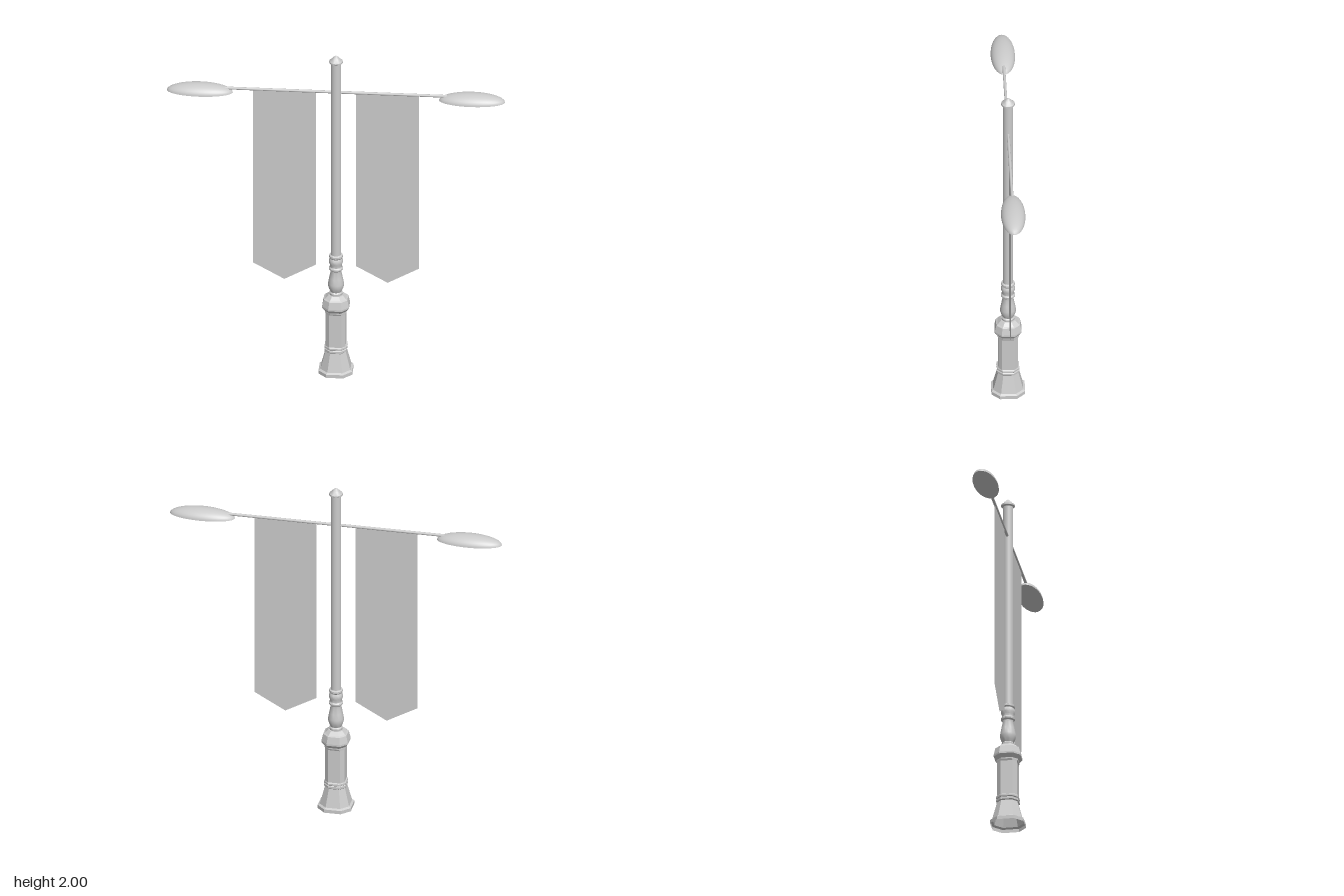
import * as THREE from 'three';
import { toCreasedNormals } from 'three/addons/utils/BufferGeometryUtils.js';

const grey = new THREE.MeshStandardMaterial({ color: 0xcccccc });
const greyFlat = new THREE.MeshStandardMaterial({ color: 0xcccccc, flatShading: true, side: THREE.DoubleSide });
const greyDouble = new THREE.MeshStandardMaterial({ color: 0xcccccc, side: THREE.DoubleSide });

function add(parent, name, geometry, material = grey) {
  const mesh = new THREE.Mesh(geometry, material);
  mesh.name = name;
  parent.add(mesh);
  return mesh;
}

const toPoints = (rows) => rows.map(([r, y]) => new THREE.Vector2(r, y));

function turned(rows, segments = 24) {
  return toCreasedNormals(new THREE.LatheGeometry(toPoints(rows), segments), 0.6);
}

// Chamfered-square column; each row is [half width, height, flat share of the side]
function octagonal(rows) {
  const geometry = new THREE.LatheGeometry(toPoints(rows), 8);
  const pos = geometry.attributes.position;
  for (let i = 0; i <= 8; i++) {
    rows.forEach(([half, y, flat = 0.5], j) => {
      const corner = Math.atan(flat);
      const angle = Math.floor((i + 1) / 2) * Math.PI / 2 + (i % 2 ? -corner : corner);
      const r = half * Math.hypot(1, flat);
      pos.setXYZ(i * rows.length + j, r * Math.sin(angle), y, r * Math.cos(angle));
    });
  }
  geometry.computeVertexNormals();
  return geometry;
}

export function createModel() {
  const model = new THREE.Group();
  model.name = 'streetLamp';

  // Octagonal pedestal, open underneath
  add(model, 'pedestal', octagonal([
    [0.094, 0], [0.094, 0.02], [0.083, 0.027], [0.057, 0.133],
    [0.062, 0.138], [0.062, 0.15], [0.058, 0.153], [0.062, 0.157], [0.062, 0.167],
    [0.055, 0.172, 0.62], [0.055, 0.375, 0.62], [0.06, 0.385], [0.06, 0.392],
    [0.075, 0.412], [0.075, 0.422], [0.066, 0.463], [0.058, 0.468],
    [0.04, 0.486], [0, 0.488],
  ]), greyFlat);

  // Turned collar between pedestal and pole
  add(model, 'collar', turned([
    [0.036, 0.483], [0.037, 0.498], [0.031, 0.505], [0.038, 0.52], [0.044, 0.54],
    [0.044, 0.556], [0.038, 0.59], [0.031, 0.625], [0.032, 0.638], [0.039, 0.645],
    [0.04, 0.654], [0.034, 0.662], [0.034, 0.676], [0.04, 0.69], [0.038, 0.705],
    [0.033, 0.715], [0.038, 0.722], [0.038, 0.733], [0.029, 0.738],
  ]));

  add(model, 'pole', new THREE.CylinderGeometry(0.029, 0.029, 1.23, 24, 1, true).translate(0, 1.345, 0));

  // Cap with a small pointed finial
  add(model, 'cap', turned([
    [0.029, 1.95], [0.038, 1.956], [0.038, 1.965], [0.028, 1.972],
    [0.02, 1.983], [0.009, 1.993], [0, 2],
  ]));

  add(model, 'crossArm', new THREE.CylinderGeometry(0.008, 0.008, 1.24, 12)
    .rotateZ(Math.PI / 2).translate(0, 1.767, 0));

  for (const side of [1, -1]) {
    const label = side > 0 ? 'left' : 'right';

    // Flat-bottomed oval lamp head
    const dome = [[0, 0], [1, 0], [0.985, 0.18]];
    for (let k = 1; k <= 8; k++) {
      const a = 0.18 + (Math.PI / 2 - 0.18) * k / 8;
      dome.push([k === 8 ? 0 : Math.cos(a), Math.sin(a)]);
    }
    const head = turned(dome, 32);
    head.scale(0.184, 0.048, 0.068);
    add(model, label + 'LampHead', head).position.set(side * 0.759, 1.742, 0);

    // Thin pennant banner hanging from the arm
    const banner = new THREE.Shape(toPoints([
      [-0.176, 1.76], [-0.176, 0.665], [0, 0.567], [0.176, 0.665], [0.176, 1.76],
    ]));
    add(model, label + 'Banner', new THREE.ShapeGeometry(banner), greyDouble).position.x = side * 0.288;
  }

  return model;
}
